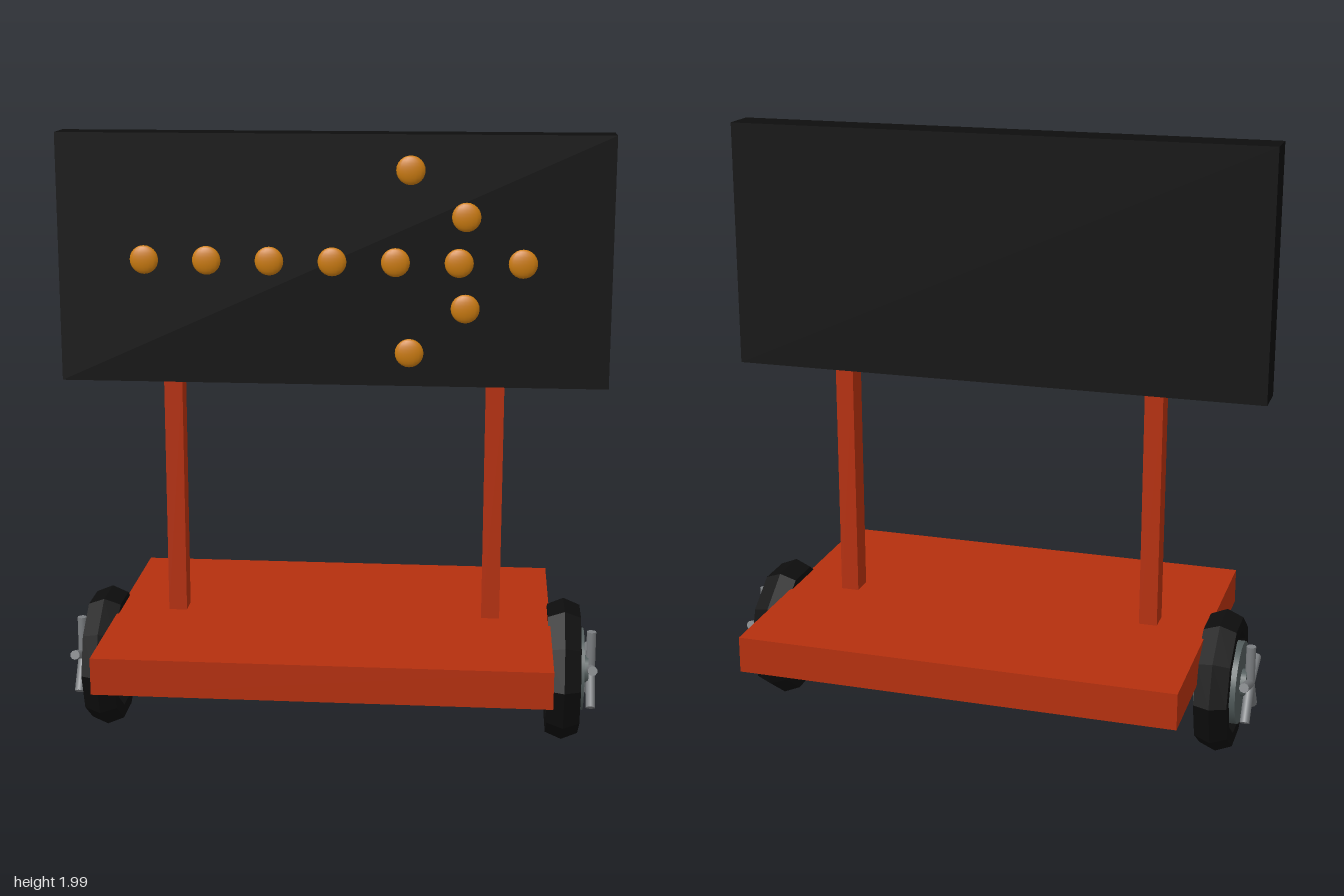
import * as THREE from 'three';

function material(name, color, flatShading = false) {
  const m = new THREE.MeshStandardMaterial({ color, flatShading });
  m.name = name;
  return m;
}

export function createModel() {
  const model = new THREE.Group();
  model.name = 'arrowBoardTrailer';

  const orange = material('orangePaint', 0xb5300e);
  const black = material('black', 0x0d0d0d, true);
  const amber = material('amberLamp', 0xcc7c10);
  const rimGrey = material('rimGrey', 0x525c5c);
  const steel = material('spokeSteel', 0x7a7d80);

  const add = (parent, name, geometry, mat, x = 0, y = 0, z = 0) => {
    const mesh = new THREE.Mesh(geometry, mat);
    mesh.name = name;
    mesh.position.set(x, y, z);
    parent.add(mesh);
    return mesh;
  };

  // Deck, posts and sign panel
  add(model, 'deck', new THREE.BoxGeometry(1.44, 0.12, 1.04), orange, 0, 0.352, 0);
  for (const side of [-1, 1]) {
    add(model, 'post', new THREE.BoxGeometry(0.06, 0.8, 0.075), orange, side * 0.523, 0.81, 0);
  }
  add(model, 'signPanel', new THREE.BoxGeometry(1.767, 0.8, 0.12), black, 0, 1.6, 0);

  // Lamps in the shape of an arrow: shaft, then the two barbs
  const lamps = [];
  for (let i = -3; i <= 3; i++) lamps.push([i * 0.201, 1.6]);
  for (const s of [-1, 1]) {
    lamps.push([0.423, 1.6 + s * 0.145], [0.247, 1.6 + s * 0.29]);
  }
  const lampGeometry = new THREE.SphereGeometry(0.046, 16, 12).scale(1, 1, 0.37);
  for (const [x, y] of lamps) add(model, 'lamp', lampGeometry, amber, x, y, 0.073);

  // Wheels: built with the axle along +x, so the outer face points to +x
  const tireGeometry = new THREE.TorusGeometry(0.1915, 0.0435, 6, 10)
    .scale(1, 1, 1.43).rotateY(Math.PI / 2);
  const rimGeometry = new THREE.CylinderGeometry(0.137, 0.137, 0.136, 24).rotateZ(Math.PI / 2);
  const hubGeometry = new THREE.CylinderGeometry(0.046, 0.046, 0.172, 16).rotateZ(Math.PI / 2);
  const spokeGeometry = new THREE.CylinderGeometry(0.016, 0.016, 0.132, 10).translate(0, 0.066, 0);
  for (const side of [-1, 1]) {
    const wheel = new THREE.Group();
    wheel.name = side > 0 ? 'leftWheel' : 'rightWheel';
    wheel.position.set(side * 0.767, 0.23, 0);
    wheel.rotation.y = side > 0 ? 0 : Math.PI;
    add(wheel, 'tire', tireGeometry, black);
    add(wheel, 'rim', rimGeometry, rimGrey);
    add(wheel, 'hub', hubGeometry, rimGrey);
    // Five spokes, one pointing straight up
    for (let i = 0; i < 5; i++) {
      add(wheel, 'spoke', spokeGeometry, steel, 0.094).rotation.x = i * Math.PI * 2 / 5;
    }
    model.add(wheel);
  }
  return model;
}
